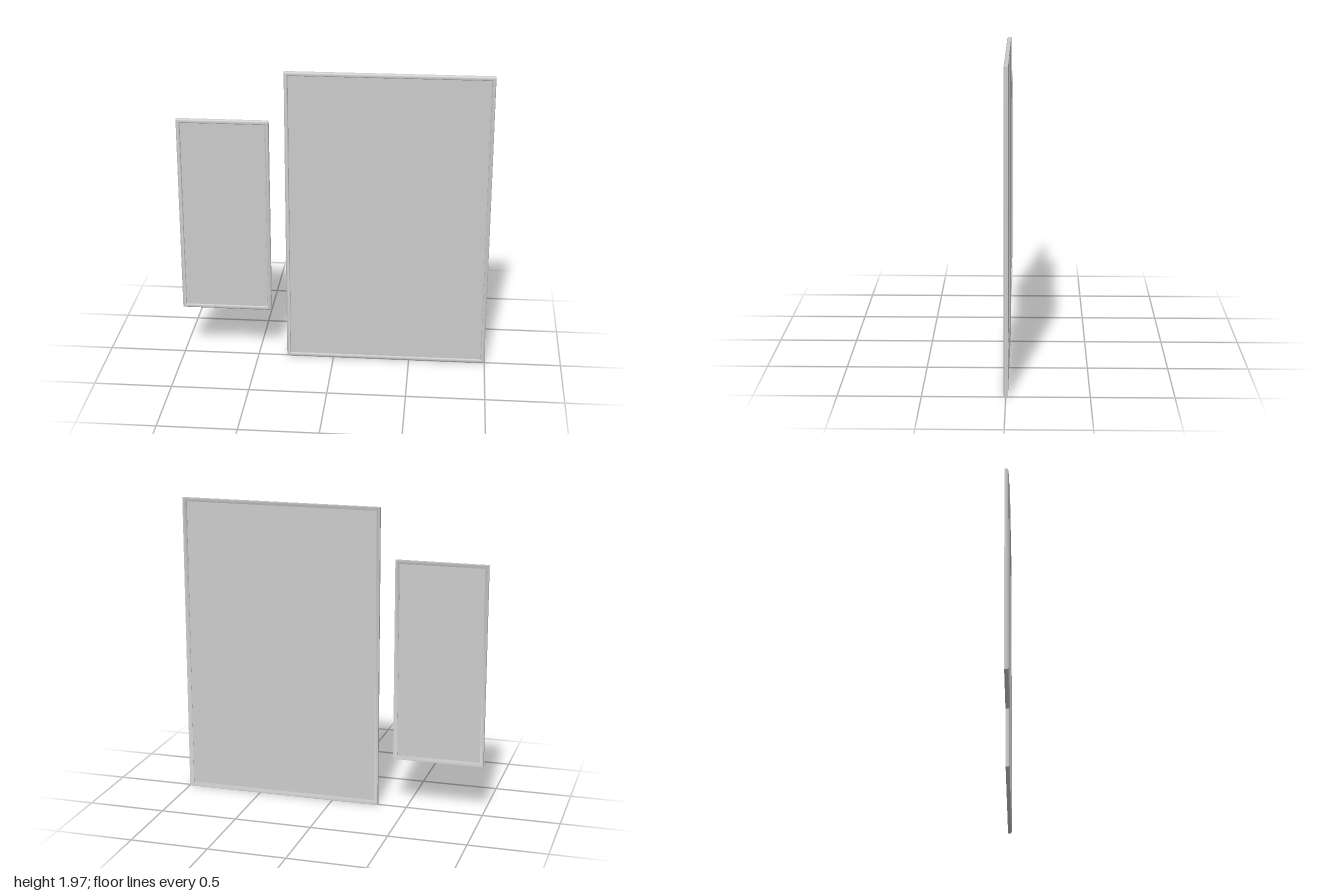
import * as THREE from 'three';
import { toCreasedNormals } from 'three/addons/utils/BufferGeometryUtils.js';

const material = new THREE.MeshStandardMaterial({ color: 0xcccccc });

// Moulding cross-section: [inset from the outer edge, z], outer back to inner back
const PROFILE = [
  [0, -0.013], [0, 0.005], [0.003, 0.009], [0.008, 0.012], [0.014, 0.013],
  [0.02, 0.012], [0.024, 0.009], [0.025, 0.005], [0.025, -0.002], [0.005, -0.013],
];

// Mitred frame: the profile is carried round the four corners
function mouldingGeometry(w, h) {
  const corners = [[-1, -1], [1, -1], [1, 1], [-1, 1]];
  const n = PROFILE.length;
  const positions = [];
  const index = [];
  corners.forEach(([sx, sy], c) => {
    PROFILE.forEach(([inset, z], p) => {
      positions.push(sx * (w / 2 - inset), sy * (h / 2 - inset), z);
      const a = c * n + p;
      const b = ((c + 1) % 4) * n + p;
      const a2 = c * n + (p + 1) % n;
      const b2 = ((c + 1) % 4) * n + (p + 1) % n;
      index.push(a, b, b2, a, b2, a2);
    });
  });
  const geometry = new THREE.BufferGeometry();
  geometry.setAttribute('position', new THREE.Float32BufferAttribute(positions, 3));
  geometry.setIndex(index);
  return toCreasedNormals(geometry, 0.7);
}

function framedPanel(name, x0, x1, y0, y1) {
  const group = new THREE.Group();
  group.name = name;
  const w = x1 - x0;
  const h = y1 - y0;

  const moulding = new THREE.Mesh(mouldingGeometry(w, h), material);
  moulding.name = 'moulding';

  // Flat panel set into the moulding
  const panel = new THREE.Mesh(new THREE.BoxGeometry(w - 0.046, h - 0.046, 0.004), material);
  panel.name = 'panel';
  panel.position.z = 0.002;

  group.add(moulding, panel);
  group.position.set((x0 + x1) / 2, (y0 + y1) / 2, 0);
  return group;
}

export function createModel() {
  const model = new THREE.Group();
  model.name = 'pictureFrames';
  model.add(
    framedPanel('largeFrame', -0.31, 1, 0, 1.965),
    framedPanel('smallFrame', -1, -0.41, 0.33, 1.64),
  );
  return model;
}
